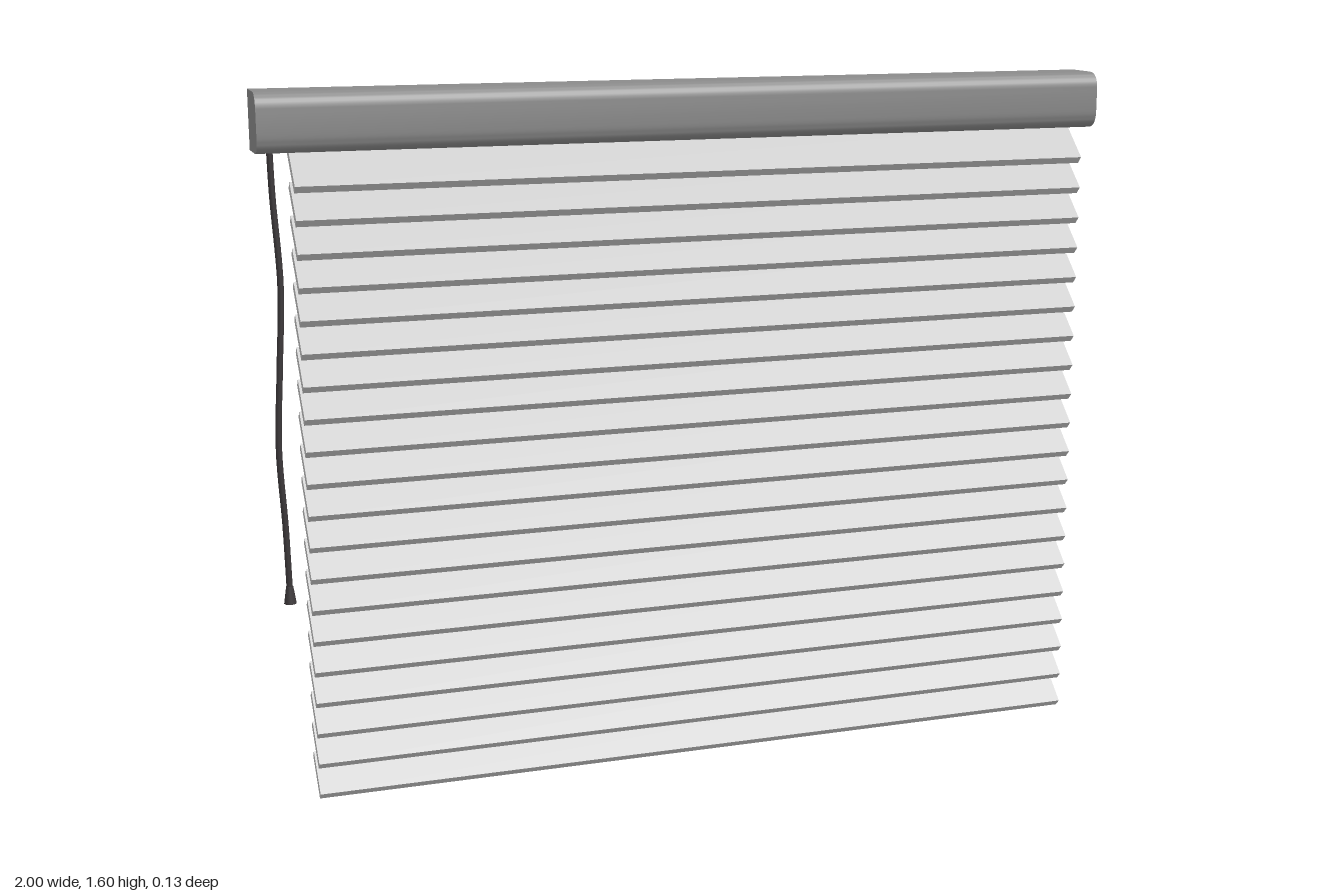
import * as THREE from 'three';
import { toCreasedNormals } from 'three/addons/utils/BufferGeometryUtils.js';

const railGrey = new THREE.MeshStandardMaterial({ name: 'railGrey', color: 0x8a8a8a });
const slatGrey = new THREE.MeshStandardMaterial({ name: 'slatGrey', color: 0xc6c6c6 });
const cordDark = new THREE.MeshStandardMaterial({ name: 'cordDark', color: 0x3c383a });

function addMesh(parent, name, geometry, material) {
  const mesh = new THREE.Mesh(geometry, material);
  mesh.name = name;
  parent.add(mesh);
  return mesh;
}

// Box-like rail with two rounded front edges, extruded along x
function headRailGeometry() {
  const back = -0.066, front = 0.057, bottom = 1.472, top = 1.604;
  const rz = 0.038, ry = 0.042;
  // Shape x stands for -z so that the extrusion runs along +x after turning
  const s = new THREE.Shape();
  s.moveTo(-back, bottom);
  s.lineTo(-back, top);
  s.lineTo(-front + rz, top);
  s.quadraticCurveTo(-front, top, -front, top - ry);
  s.lineTo(-front, bottom + ry);
  s.quadraticCurveTo(-front, bottom, -front + rz, bottom);
  s.closePath();
  const g = new THREE.ExtrudeGeometry(s, { depth: 2, bevelEnabled: false, curveSegments: 10 });
  g.translate(0, 0, -1);
  g.rotateY(Math.PI / 2);
  return toCreasedNormals(g, 0.6);
}

export function createModel() {
  const blind = new THREE.Group();
  blind.name = 'windowBlind';

  addMesh(blind, 'headRail', headRailGeometry(), railGrey);

  // Twenty tilted slats, front edge low
  const slats = new THREE.Group();
  slats.name = 'slats';
  blind.add(slats);
  const slat = new THREE.BoxGeometry(1.885, 0.021, 0.11);
  for (let i = 0; i < 20; i++) {
    const m = addMesh(slats, 'slat', slat, slatGrey);
    m.position.set(0.0175, 0.0465 + i * 0.073, 0.017);
    m.rotation.x = THREE.MathUtils.degToRad(43);
  }

  // Slightly wavy pull cord with a flared tassel
  const pull = new THREE.Group();
  pull.name = 'pullCord';
  blind.add(pull);
  const path = new THREE.CatmullRomCurve3([
    [-0.967, 1.48, 0], [-0.965, 1.38, 0], [-0.956, 1.18, 0.002], [-0.966, 1.0, 0.004],
    [-0.976, 0.82, 0.005], [-0.969, 0.64, 0.005], [-0.966, 0.49, 0.005],
  ].map((p) => new THREE.Vector3(...p)));
  addMesh(pull, 'cord', new THREE.TubeGeometry(path, 32, 0.007, 8), cordDark);
  const tassel = addMesh(pull, 'tassel', new THREE.CylinderGeometry(0.008, 0.014, 0.04, 12), cordDark);
  tassel.position.set(-0.966, 0.48, 0.005);

  return blind;
}
